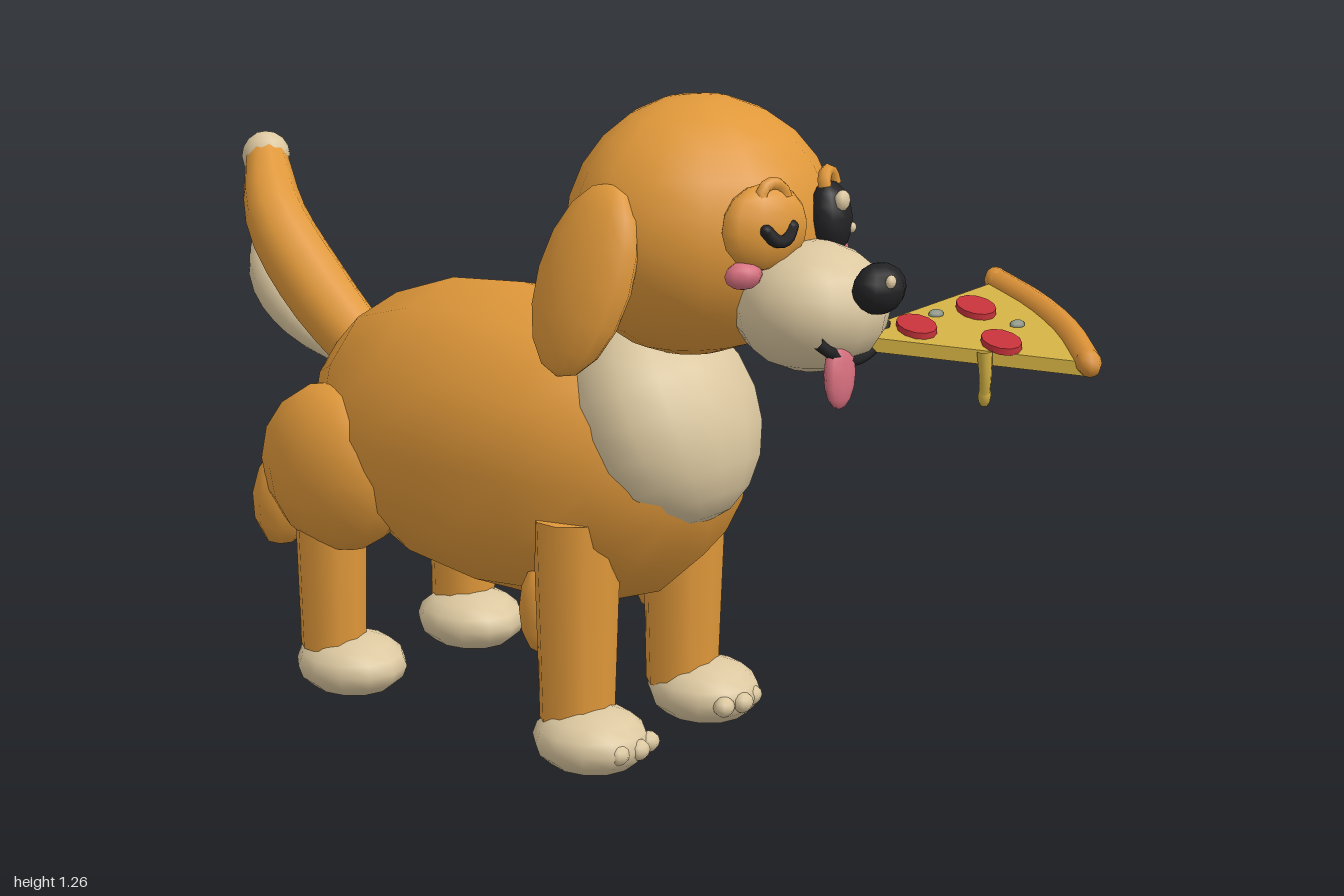
import * as THREE from 'three';
import { mergeVertices } from 'three/addons/utils/BufferGeometryUtils.js';

const mat = (name, color, extra = {}) => Object.assign(new THREE.MeshStandardMaterial({ color, ...extra }), { name });
const M = {
  fur: mat('golden fur', 0xe0983a),
  cream: mat('cream fur', 0xdcc8a0),
  black: mat('black', 0x222224),
  red: mat('red', 0xc4323a),
  pink: mat('pink', 0xd8707f),
  cheese: mat('cheese', 0xcfae42),
  crust: mat('crust', 0xd88f36),
  herb: mat('herb grey', 0x8c9484),
};
const V = (a) => new THREE.Vector3(...a);

function add(parent, name, geo, material, pos = [0, 0, 0], rot = [0, 0, 0]) {
  const m = new THREE.Mesh(geo, material);
  m.name = name;
  m.position.set(...pos);
  m.rotation.set(...rot);
  parent.add(m);
  return m;
}

// Ellipsoid with the given radii
const ball = (rx, ry, rz, w = 12, h = 8) => new THREE.SphereGeometry(1, w, h).scale(rx, ry, rz);

// Round tube along points, with a radius given by a function of 0..1
function taperTube(points, radius, segs = 10, sides = 10) {
  const curve = new THREE.CatmullRomCurve3(points.map(V));
  const geo = new THREE.TubeGeometry(curve, segs, 1, sides);
  const p = geo.attributes.position, v = new THREE.Vector3();
  for (let i = 0; i <= segs; i++) {
    const c = curve.getPointAt(i / segs), r = radius(i / segs);
    for (let j = 0; j <= sides; j++) {
      const k = i * (sides + 1) + j;
      v.fromBufferAttribute(p, k).sub(c).multiplyScalar(r).add(c);
      p.setXYZ(k, v.x, v.y, v.z);
    }
  }
  return geo;
}

// Barrel body: sphere with fuller ends and a slight keel
function bodyGeometry() {
  let geo = new THREE.SphereGeometry(1, 12, 8).rotateX(Math.PI / 2);
  geo.deleteAttribute('uv');
  geo.deleteAttribute('normal');
  geo = mergeVertices(geo, 1e-4);
  const p = geo.attributes.position;
  for (let i = 0; i < p.count; i++) {
    const x = p.getX(i), y = p.getY(i), r = Math.hypot(x, y);
    const f = r > 1e-3 ? Math.pow(r, -0.2) : 1;
    const keel = y < 0 && Math.abs(x) < 0.05 ? 1.08 : 1;
    p.setXYZ(i, x * f * 0.288, y * f * 0.3 * keel, p.getZ(i) * 0.48);
  }
  geo.computeVertexNormals();
  return geo;
}

// Head: ellipsoid that reaches further forward than back
function headGeometry() {
  const geo = ball(0.267, 0.235, 1, 16, 12);
  const p = geo.attributes.position;
  for (let i = 0; i < p.count; i++) p.setZ(i, p.getZ(i) * (p.getZ(i) > 0 ? 0.25 : 0.2));
  const n = geo.attributes.normal;
  for (let i = 0; i < p.count; i++) {
    const rz = p.getZ(i) > 0 ? 0.25 : 0.2;
    const v = new THREE.Vector3(p.getX(i) / 0.267 ** 2, p.getY(i) / 0.235 ** 2, p.getZ(i) / rz ** 2).normalize();
    n.setXYZ(i, v.x, v.y, v.z);
  }
  return geo;
}

function buildLegs(dog) {
  for (const s of [-1, 1]) {
    // Front leg, elbow, paw and toes
    add(dog, 'frontLeg', new THREE.CylinderGeometry(0.09, 0.077, 0.41, 10).scale(1, 1, 0.86), M.fur, [s * 0.157, 0.285, 0.17]);
    add(dog, 'elbow', ball(0.04, 0.09, 0.04, 8, 6), M.fur, [s * 0.165, 0.29, 0.085]);
    add(dog, 'frontPaw', ball(0.105, 0.063, 0.115), M.cream, [s * 0.17, 0.065, 0.215]);
    for (const t of [-1, 0, 1])
      add(dog, 'toe', ball(0.023, 0.02, 0.02, 8, 6), M.cream, [s * 0.157 + t * 0.043, 0.065, t ? 0.308 : 0.32]);
    // Hind leg, haunch, hock and paw
    add(dog, 'hindLeg', new THREE.CylinderGeometry(0.072, 0.066, 0.32, 10), M.fur, [s * 0.19, 0.26, -0.445]);
    add(dog, 'haunch', ball(0.11, 0.168, 0.18), M.fur, [s * 0.195, 0.475, -0.42]);
    add(dog, 'hock', ball(0.07, 0.11, 0.06, 8, 6), M.fur, [s * 0.19, 0.385, -0.575], [0.15, 0, 0]);
    add(dog, 'hindPaw', ball(0.105, 0.063, 0.118), M.cream, [s * 0.175, 0.065, -0.41]);
  }
}

function buildTail(dog) {
  const path = [[0, 0.63, -0.5], [0, 0.75, -0.655], [0.03, 0.88, -0.81], [0.125, 0.985, -0.94]];
  add(dog, 'tail', taperTube(path, (t) => 0.06 + 0.018 * Math.sin(Math.PI * t) - 0.016 * t), M.fur);
  add(dog, 'tailTip', ball(0.051, 0.051, 0.051, 10, 8), M.cream, [0.125, 0.985, -0.94]);
  const under = [[0, 0.63, -0.6], [0.005, 0.69, -0.71], [0.03, 0.765, -0.82], [0.1, 0.84, -0.91]];
  add(dog, 'tailUnderside', taperTube(under, (t) => 0.02 + 0.032 * Math.sin(Math.PI * t) + 0.01 * t), M.cream);
  add(dog, 'tailUndersideTip', ball(0.032, 0.032, 0.032, 8, 6), M.cream, under[3]);
}

function buildHead(dog) {
  const head = new THREE.Group();
  head.name = 'head';
  dog.add(head);
  add(head, 'skull', headGeometry(), M.fur, [0, 1.03, 0.31]);
  add(head, 'snout', ball(0.14, 0.115, 0.14, 14, 10), M.cream, [0, 0.92, 0.575]);
  add(head, 'nose', ball(0.057, 0.045, 0.042, 10, 8), M.black, [0, 0.972, 0.718]);
  add(head, 'noseShine', ball(0.012, 0.012, 0.008, 8, 6), M.cream, [-0.018, 0.992, 0.754]);

  for (const s of [-1, 1]) {
    add(head, 'ear', ball(0.05, 0.175, 0.1), M.fur, [s * 0.282, 0.972, 0.295], [0.12, 0, s * 0.3]);
    add(head, 'cheek', ball(0.036, 0.025, 0.022, 8, 6), M.pink, [s * 0.137, 0.99, 0.53], [0, s * 0.5, 0]);
    add(head, 'brow', new THREE.TorusGeometry(0.027, 0.012, 6, 6, Math.PI), M.fur, [s * 0.082, 1.118, 0.55], [-0.2, s * 0.3, 0]);
  }

  // Open eye
  add(head, 'eye', ball(0.052, 0.066, 0.038, 10, 8), M.black, [0.086, 1.06, 0.55], [-0.1, 0.25, 0]);
  add(head, 'eyeShine', ball(0.018, 0.019, 0.012, 8, 6), M.cream, [0.079, 1.095, 0.58]);
  add(head, 'eyeSparkle', ball(0.009, 0.01, 0.008, 8, 6), M.cream, [0.11, 1.042, 0.58]);

  // Winking eye
  add(head, 'eyelid', ball(0.09, 0.076, 0.042, 10, 8), M.fur, [-0.086, 1.068, 0.535], [-0.08, -0.3, 0]);
  const wink = [[-0.122, 1.07, 0.566], [-0.107, 1.053, 0.574], [-0.092, 1.049, 0.578], [-0.077, 1.055, 0.579], [-0.064, 1.071, 0.577]];
  add(head, 'wink', taperTube(wink, () => 0.012, 8, 6), M.black);
  for (const e of [wink[0], wink[4]]) add(head, 'winkEnd', ball(0.012, 0.012, 0.012, 8, 6), M.black, e);

  // Smile laid on the snout
  const smile = [-0.1, -0.08, -0.045, 0, 0.045, 0.08, 0.1].map((x) => {
    const y = 0.84 + 4.5 * x * x;
    const k = 1 - (x / 0.14) ** 2 - ((y - 0.92) / 0.115) ** 2;
    return [x, y, 0.575 + 0.14 * Math.sqrt(Math.max(k, 0))];
  });
  add(head, 'mouth', taperTube(smile, () => 0.011, 14, 6), M.black);
  add(head, 'tongue', ball(0.04, 0.062, 0.018, 10, 8), M.pink, [-0.05, 0.823, 0.675], [-0.08, 0, -0.1]);
}

function buildPizza(root) {
  const pizza = new THREE.Group();
  pizza.name = 'pizzaSlice';
  root.add(pizza);
  // Parts are laid flat, then sheared onto the tilted plane of the slice
  const tilt = new THREE.Matrix4().set(1, 0, 0, 0, 0.11, 1, -0.245, 1.04, 0, 0, 1, 0, 0, 0, 0, 1);
  const flat = (name, geo, m) => add(pizza, name, geo.applyMatrix4(tilt), m);

  const slice = new THREE.Shape();
  slice.moveTo(-0.04, -0.645);
  slice.lineTo(0.23, -0.965);
  slice.quadraticCurveTo(0.33, -0.86, 0.36, -0.695);
  slice.closePath();
  flat('cheese', new THREE.ExtrudeGeometry(slice, { depth: 0.025, bevelEnabled: false, curveSegments: 6 })
    .rotateX(-Math.PI / 2).translate(0, -0.025, 0), M.cheese);

  const rim = [[0.365, 0, 0.695], [0.348, 0, 0.79], [0.305, 0, 0.885], [0.235, 0, 0.97]];
  flat('crust', taperTube(rim, () => 0.024, 8, 8), M.crust);
  for (const e of [rim[0], rim[3]]) flat('crustEnd', ball(0.024, 0.024, 0.024, 8, 6).translate(...e), M.crust);

  for (const [x, z] of [[0.082, 0.712], [0.232, 0.737], [0.16, 0.838]])
    flat('pepperoni', new THREE.CylinderGeometry(0.036, 0.036, 0.012, 12).translate(x, 0.005, z), M.red);
  for (const [x, z] of [[0.157, 0.702], [0.247, 0.815]])
    flat('herb', ball(0.016, 0.008, 0.009, 8, 6).rotateY(-0.4).translate(x, 0.002, z), M.herb);

  // Melted drip
  add(pizza, 'drip', taperTube([[0.112, 0.85, 0.835], [0.113, 0.8, 0.838], [0.116, 0.765, 0.835]], (t) => 0.014 - 0.005 * t, 6, 8), M.cheese);
  add(pizza, 'dripDrop', ball(0.012, 0.02, 0.012, 8, 6), M.cheese, [0.117, 0.768, 0.835]);
}

export function createModel() {
  const root = new THREE.Group();
  root.name = 'puppyWithPizza';
  const dog = new THREE.Group();
  dog.name = 'puppy';
  dog.position.x = -0.045;
  root.add(dog);

  add(dog, 'body', bodyGeometry(), M.fur, [0, 0.56, -0.1]);
  add(dog, 'chest', ball(0.2, 0.21, 0.15, 14, 10), M.cream, [0, 0.66, 0.255], [-0.45, 0, 0]);
  // Collar ring leaning down towards the back
  add(dog, 'collar', new THREE.TorusGeometry(0.182, 0.03, 8, 16), M.red, [0, 0.865, 0.195], [0.82, 0, 0]);

  buildLegs(dog);
  buildTail(dog);
  buildHead(dog);
  buildPizza(root);
  return root;
}
